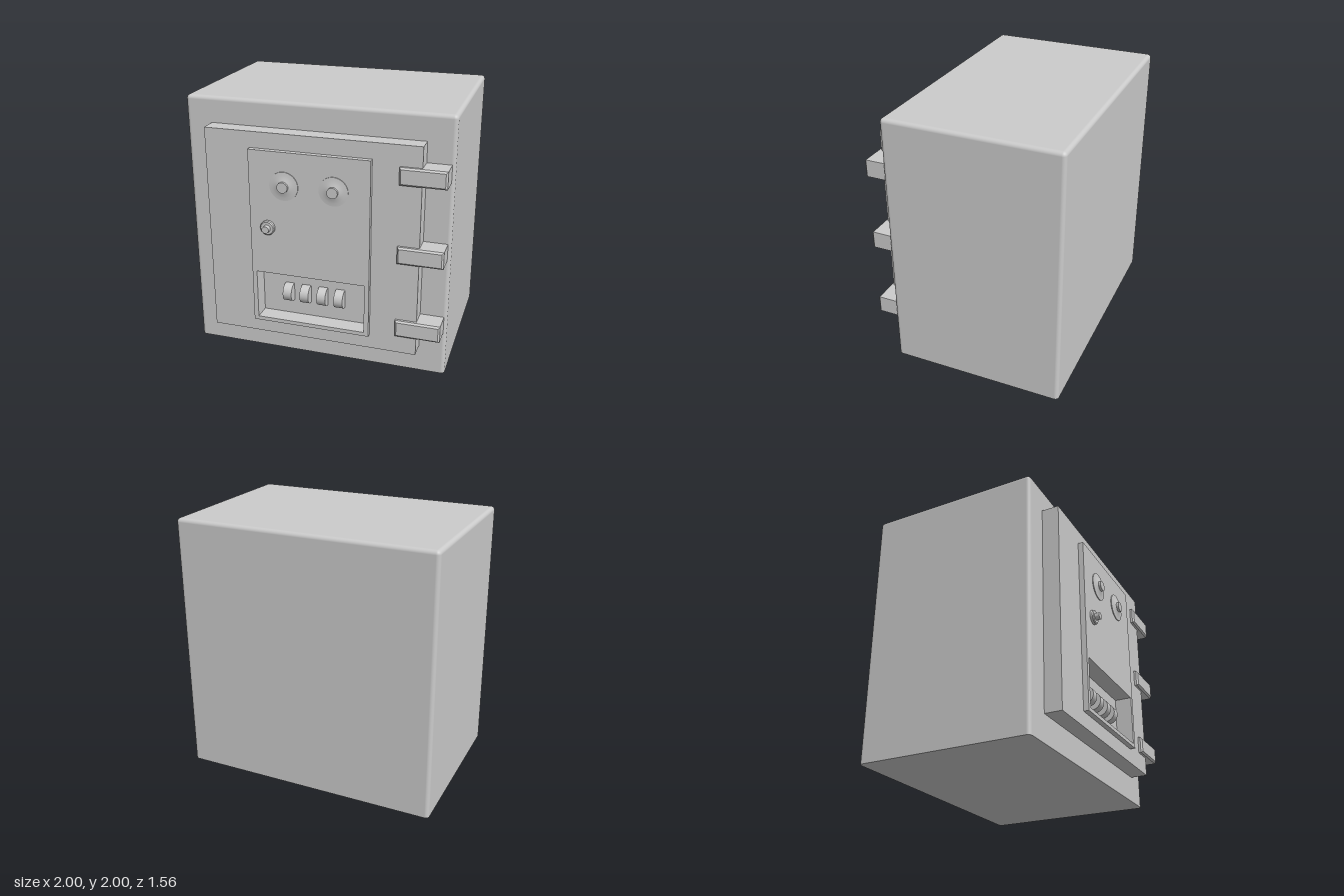
import * as THREE from 'three';
import { RoundedBoxGeometry } from 'three/addons/geometries/RoundedBoxGeometry.js';
import { toCreasedNormals } from 'three/addons/utils/BufferGeometryUtils.js';

const FRONT = 0.55, RECESS_Z = 0.59, DOOR_Z = 0.68, PANEL_Z = 0.72;
const RECESS = [-0.418, 0.35, 0.415, 0.733]; // x0, y0, x1, y1

export function createModel() {
  const group = new THREE.Group();
  const material = new THREE.MeshStandardMaterial({ color: 0xcccccc });

  function add(name, geometry, x = 0, y = 0, z = 0) {
    const mesh = new THREE.Mesh(geometry, material);
    mesh.name = name;
    mesh.position.set(x, y, z);
    group.add(mesh);
    return mesh;
  }

  function rectangle(Type, x0, y0, x1, y1) {
    return new Type([[x0, y0], [x1, y0], [x1, y1], [x0, y1]].map((p) => new THREE.Vector2(...p)));
  }

  // Plate with the window for the combination recess cut through it
  function windowPlate(name, outline, z0, z1) {
    const shape = rectangle(THREE.Shape, ...outline);
    shape.holes.push(rectangle(THREE.Path, ...RECESS));
    add(name, new THREE.ExtrudeGeometry(shape, { depth: z1 - z0, bevelEnabled: false }), 0, 0, z0);
  }

  // Turned part whose axis points forward; profile is [radius, height] pairs
  function turned(name, profile, x, y) {
    const lathe = new THREE.LatheGeometry(profile.map((p) => new THREE.Vector2(...p)), 32);
    add(name, toCreasedNormals(lathe.rotateX(Math.PI / 2), 0.5), x, y, PANEL_Z);
  }

  // Cabinet: rounded sides and top, flat underside
  const r = 0.03;
  const cabinet = new RoundedBoxGeometry(2, 2 + r, 1.33, 4, r);
  cabinet.translate(0, (2 - r) / 2, 0);
  const pos = cabinet.attributes.position, normal = cabinet.attributes.normal;
  for (let i = 0; i < pos.count; i += 3) {
    const under = [i, i + 1, i + 2].every((k) => pos.getY(k) < 1e-4);
    for (let k = i; k < i + 3; k++) {
      pos.setY(k, Math.max(0, pos.getY(k)));
      if (under) normal.setXYZ(k, 0, -1, 0);
    }
  }
  add('cabinet', cabinet, 0, 0, FRONT - 0.665);

  // Door, its raised control panel and the floor of the recess
  add('doorBack', new THREE.BoxGeometry(1.6, 1.6, RECESS_Z - FRONT), 0, 1.005, (FRONT + RECESS_Z) / 2);
  windowPlate('door', [-0.8, 0.205, 0.8, 1.805], RECESS_Z, DOOR_Z);
  windowPlate('controlPanel', [-0.453, 0.32, 0.45, 1.685], DOOR_Z, PANEL_Z);

  // Combination wheels, half sunk in the recess
  for (let i = 0; i < 4; i++) {
    const wheel = new THREE.CylinderGeometry(0.07, 0.07, 0.068, 32).rotateZ(Math.PI / 2);
    add('combinationWheel', wheel, -0.203 + i * 0.134, 0.537, 0.6);
  }

  // Two flared dials with short knobs
  for (const x of [-0.185, 0.185]) {
    turned('dial', [[0.108, 0], [0.108, 0.006], [0.085, 0.008], [0.06, 0.013], [0.04, 0.02],
      [0.04, 0.038], [0, 0.038]], x, 1.433);
  }

  // Stepped key lock
  turned('lock', [[0.055, 0], [0.055, 0.018], [0.048, 0.025], [0.027, 0.025],
    [0.027, 0.06], [0, 0.06]], -0.315, 1.103);

  // Hinges, bevelled around the front face
  const bevel = 0.013;
  const hingeShape = rectangle(THREE.Shape, -0.167 + bevel, -0.065 + bevel, 0.167 - bevel, 0.065 - bevel);
  for (const y of [1.588, 1.0, 0.415]) {
    const hinge = new THREE.ExtrudeGeometry(hingeShape, {
      depth: 0.148, bevelThickness: bevel, bevelSize: bevel, bevelSegments: 1,
    });
    add('hinge', hinge, 0.81, y, FRONT);
  }

  return group;
}
